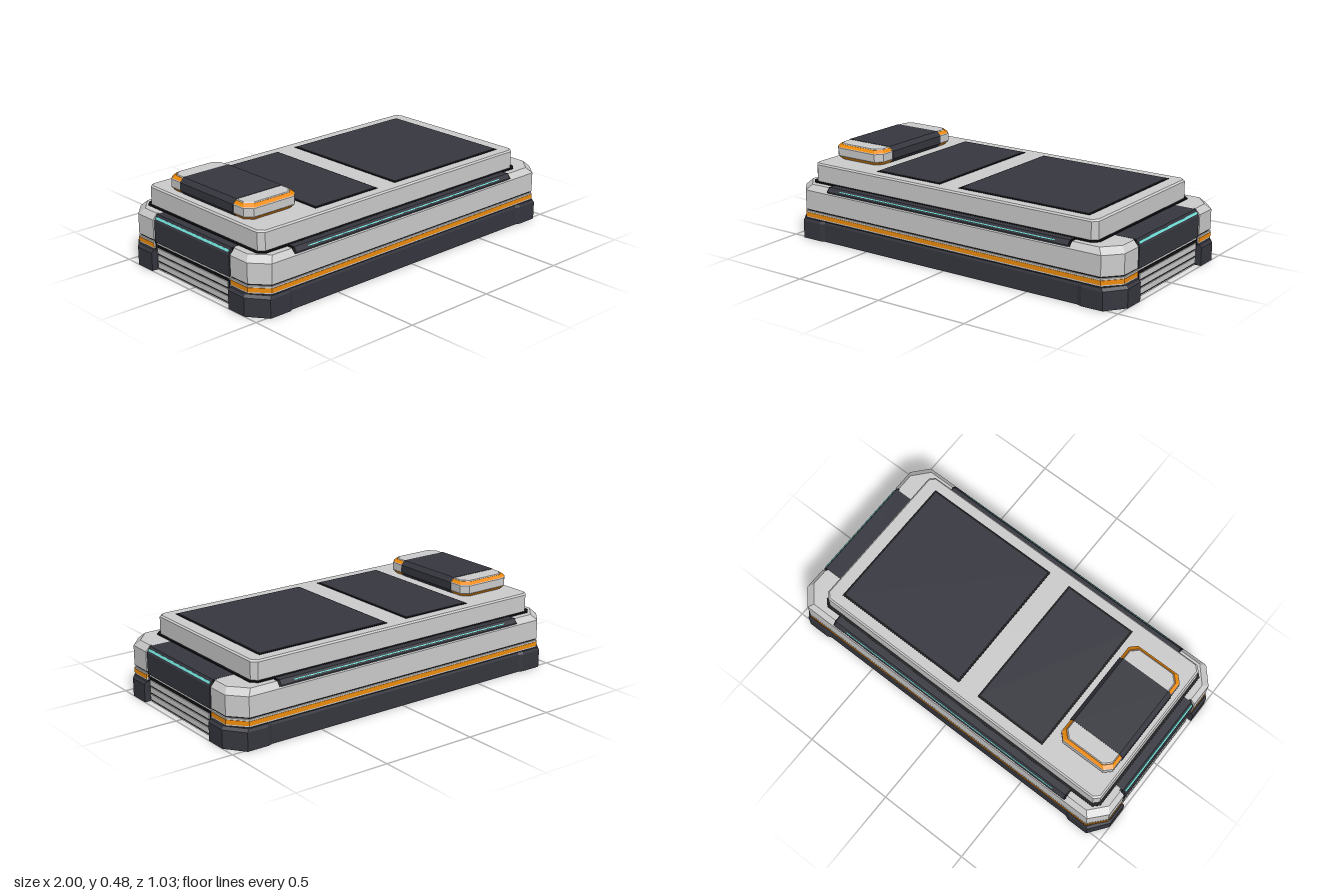
import * as THREE from 'three';

const mat = (color) => new THREE.MeshStandardMaterial({ color, flatShading: true });
const GREY = mat(0xcccccc), DARK = mat(0x36373f), BLACK = mat(0x111114);
const ORANGE = mat(0xf08c0c), TEAL = mat(0x70e0d8);

// Mirrors one quarter of an outline (running from the x side to the z side) into a full loop.
function mirrorQuarter(q) {
  const r = [...q].reverse();
  return [
    ...q,
    ...r.map(([x, z]) => [-x, z]),
    ...q.map(([x, z]) => [-x, -z]),
    ...r.map(([x, z]) => [x, -z]),
  ];
}

// Rectangle with cut corners.
const cutRect = (hx, hz, cx, cz = cx) => mirrorQuarter([[hx, hz - cz], [hx - cx, hz]]);

// Body outline: cut corners plus a notch in each end for the end units.
const body = (hx, hz, cx = 0.075, cz = 0.085) =>
  mirrorQuarter([[0.95, 0.3], [hx, 0.3], [hx, hz - cz], [hx - cx, hz]]);

// Base outline: as the body, with the long sides stepped in between the corner feet.
const foot = (hx, hz) =>
  mirrorQuarter([[0.95, 0.3], [hx, 0.3], [hx, hz - 0.1], [hx - 0.075, hz], [0.81, hz], [0.785, hz - 0.01]]);

// Solid through stacked horizontal outlines: levels are [y, outline].
function loft(levels) {
  const pos = [];
  const put = (k, i) => {
    const [y, o] = levels[k];
    const p = o[i % o.length];
    pos.push(p[0], y, p[1]);
  };
  const n = levels[0][1].length;
  for (let k = 0; k < levels.length - 1; k++) {
    for (let i = 0; i < n; i++) {
      put(k, i); put(k + 1, i); put(k + 1, i + 1);
      put(k, i); put(k + 1, i + 1); put(k, i + 1);
    }
  }
  const cap = (k, flip) => {
    const pts = levels[k][1].map(([x, z]) => new THREE.Vector2(x, z));
    for (const f of THREE.ShapeUtils.triangulateShape(pts, [])) {
      (flip ? [f[2], f[1], f[0]] : f).forEach((i) => put(k, i));
    }
  };
  cap(0, false);
  cap(levels.length - 1, true);
  const g = new THREE.BufferGeometry();
  g.setAttribute('position', new THREE.Float32BufferAttribute(pos, 3));
  g.computeVertexNormals();
  return g;
}

function add(parent, name, geometry, material, x = 0) {
  const m = new THREE.Mesh(geometry, material);
  m.name = name;
  m.position.x = x;
  parent.add(m);
  return m;
}

// Box given by its limits on each axis.
function box(parent, name, material, [x0, x1], [y0, y1], [z0, z1]) {
  const m = add(parent, name, new THREE.BoxGeometry(x1 - x0, y1 - y0, z1 - z0), material);
  m.position.set((x0 + x1) / 2, (y0 + y1) / 2, (z0 + z1) / 2);
  return m;
}

// End unit on +x: sloped dark panel with a light strip above a slatted vent.
function endUnit() {
  const g = new THREE.Group();
  box(g, 'endSeal', BLACK, [0.8, 0.962], [0.003, 0.29], [-0.299, 0.299]);
  const profile = new THREE.Shape(
    [[0.8, 0.152], [0.982, 0.152], [0.982, 0.262], [0.964, 0.294], [0.8, 0.294]]
      .map(([x, y]) => new THREE.Vector2(x, y)));
  const panel = new THREE.ExtrudeGeometry(profile, { depth: 0.58, bevelEnabled: false });
  panel.translate(0, 0, -0.29);
  add(g, 'endPanel', panel, DARK);
  const light = box(g, 'endLight', TEAL, [0.97, 0.977], [0.271, 0.283], [-0.283, 0.283]);
  light.rotation.z = 0.5;
  box(g, 'ventFrame', GREY, [0.9, 0.974], [0.005, 0.146], [-0.29, 0.29]);
  box(g, 'ventRecess', BLACK, [0.9, 0.976], [0.012, 0.138], [-0.282, 0.282]);
  for (let i = 0; i < 3; i++) {
    const y = 0.02 + i * 0.037;
    box(g, 'ventSlat', GREY, [0.9, 0.981], [y, y + 0.029], [-0.275, 0.275]);
  }
  return g;
}

// Sloped channel cover along the +z top edge, with a thin light line.
function sideChannel() {
  const g = new THREE.Group();
  const strip = (name, material, pts, x0, x1) => {
    const s = new THREE.Shape(pts.map(([z, y]) => new THREE.Vector2(-z, y)));
    const geo = new THREE.ExtrudeGeometry(s, { depth: x1 - x0, bevelEnabled: false });
    geo.rotateY(Math.PI / 2);
    add(g, name, geo, material, x0);
  };
  strip('channelSeal', BLACK, [[0.44, 0.25], [0.502, 0.25], [0.502, 0.274], [0.484, 0.296], [0.44, 0.296]], -0.765, 0.735);
  strip('channelCover', DARK, [[0.44, 0.25], [0.503, 0.25], [0.503, 0.276], [0.486, 0.298], [0.44, 0.298]], -0.755, 0.725);
  strip('channelLight', TEAL, [[0.48, 0.27], [0.4985, 0.2845], [0.4955, 0.2885], [0.48, 0.28]], -0.68, 0.65);
  return g;
}

export function createModel() {
  const model = new THREE.Group();
  model.name = 'layeredBlock';

  // Base, trim band and main hull
  add(model, 'base', loft([[0, foot(1, 0.515)], [0.094, foot(1, 0.515)], [0.108, foot(0.988, 0.508)]]), DARK);
  add(model, 'hullSeam', loft([[0.1, body(0.976, 0.5)], [0.165, body(0.976, 0.5)]]), BLACK);
  add(model, 'trimBand', loft([[0.113, body(0.983, 0.507)], [0.152, body(0.983, 0.507)]]), GREY);
  add(model, 'orangeBand', loft([[0.121, body(0.985, 0.509)], [0.143, body(0.985, 0.509)]]), ORANGE);
  add(model, 'hull', loft([
    [0.16, body(0.983, 0.508)], [0.264, body(0.983, 0.508)], [0.293, body(0.957, 0.482)],
  ]), GREY);

  // Matching end units and side channels
  for (const s of [0, 1]) {
    const end = endUnit();
    end.name = s ? 'rightEnd' : 'leftEnd';
    end.rotation.y = s * Math.PI;
    model.add(end);
    const side = sideChannel();
    side.name = s ? 'backChannel' : 'frontChannel';
    side.rotation.y = s * Math.PI;
    side.position.x = s ? -0.03 : 0;
    model.add(side);
  }

  // Upper deck with its dark surround
  const deckX = -0.0375;
  add(model, 'deckSeal', loft([[0.27, cutRect(0.885, 0.45, 0.03)], [0.299, cutRect(0.885, 0.45, 0.03)]]), BLACK, deckX);
  add(model, 'deck', loft([
    [0.27, cutRect(0.8725, 0.436, 0.026)], [0.388, cutRect(0.8725, 0.436, 0.026)], [0.396, cutRect(0.864, 0.428, 0.024)],
  ]), GREY, deckX);

  // Inset deck panels
  for (const [x0, x1] of [[-0.525, -0.118], [0, 0.762]]) {
    box(model, 'panelBorder', BLACK, [x0, x1], [0.38, 0.398], [-0.377, 0.377]);
    box(model, 'deckPanel', DARK, [x0 + 0.011, x1 - 0.011], [0.38, 0.4], [-0.366, 0.366]);
  }

  // Raised pod: bevelled body, orange bevel bands, dark middle sleeve
  const pod = new THREE.Group();
  pod.name = 'pod';
  pod.position.x = -0.7225;
  model.add(pod);
  const ring = (inset, grow = 0) => cutRect(0.157 - inset + grow, 0.311 - inset + grow, 0.034);
  add(pod, 'podBody', loft([[0.394, ring(0.022)], [0.418, ring(0)], [0.459, ring(0)], [0.481, ring(0.022)]]), GREY);
  add(pod, 'podUpperBand', loft([[0.463, ring(0.004, 0.002)], [0.477, ring(0.018, 0.002)]]), ORANGE);
  add(pod, 'podLowerBand', loft([[0.399, ring(0.018, 0.002)], [0.414, ring(0.004, 0.002)]]), ORANGE);
  const sleeve = (inset) => cutRect(0.16 - inset, 0.204, 0.001);
  add(pod, 'podSleeve', loft([[0.394, sleeve(0.022)], [0.418, sleeve(0)], [0.46, sleeve(0)], [0.483, sleeve(0.022)]]), DARK);

  return model;
}
